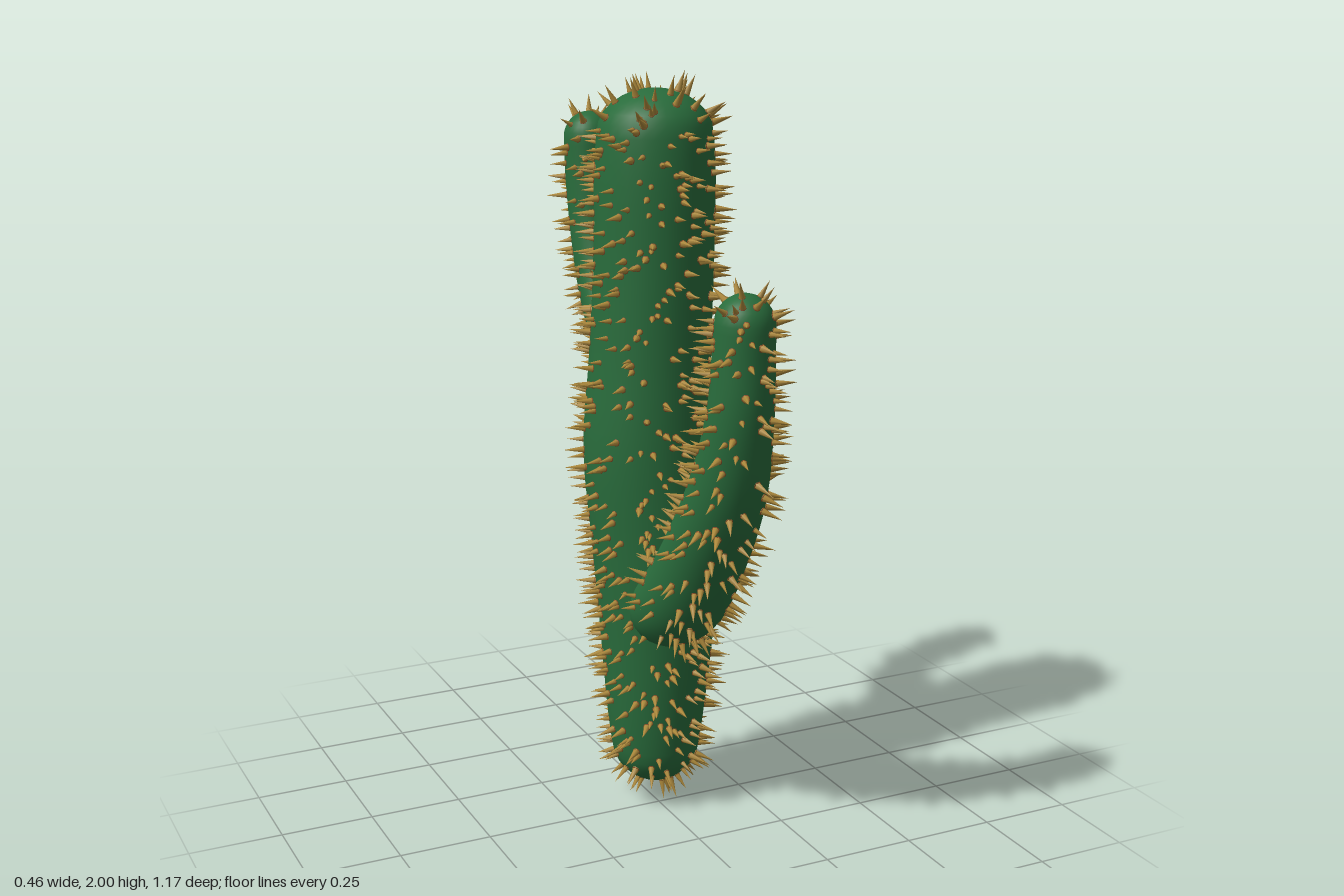
import * as THREE from 'three';
import { mergeGeometries } from 'three/addons/utils/BufferGeometryUtils.js';

const skin = new THREE.MeshStandardMaterial({ color: 0x296c3c });
skin.name = 'cactus green';
const gold = new THREE.MeshStandardMaterial({ color: 0xae8a3c });
gold.name = 'spine gold';
const brown = new THREE.MeshStandardMaterial({ color: 0x8a4e26 });
brown.name = 'spine base brown';

// Small seeded generator for the spine scatter
function seeded(seed) {
  return () => {
    seed = (seed * 1664525 + 1013904223) % 4294967296;
    return seed / 4294967296;
  };
}

// A round limb through stations [x, y, z, radius], with domed ends.
// Returns a function giving the surface point at (t along, angle around).
function limbSurface(stations, cap) {
  const path = new THREE.CatmullRomCurve3(
    stations.map(([x, y, z]) => new THREE.Vector3(x, y, z)), false, 'catmullrom');
  const radii = new THREE.CatmullRomCurve3(
    stations.map((s, i) => new THREE.Vector3(s[3], i, 0)), false, 'catmullrom');
  const length = path.getLength();
  return (t, angle) => {
    const u = path.getUtoTmapping(t);
    const tangent = path.getTangent(u);
    const side = new THREE.Vector3(1, 0, 0).addScaledVector(tangent, -tangent.x).normalize();
    const across = new THREE.Vector3().crossVectors(side, tangent);
    const d = Math.min(1, Math.min(t, 1 - t) * length / cap);
    const r = radii.getPoint(u).x * Math.sqrt(Math.max(0, 1 - (1 - d) ** 2));
    return path.getPoint(u)
      .addScaledVector(side, Math.cos(angle) * r)
      .addScaledVector(across, Math.sin(angle) * r);
  };
}

// Skin from rings that crowd toward the domed ends
function limbGeometry(surface, rows = 44, sides = 28) {
  const positions = [], index = [];
  for (let i = 0; i <= rows; i++) {
    const t = (1 - Math.cos(Math.PI * i / rows)) / 2;
    for (let j = 0; j < sides; j++) {
      positions.push(...surface(t, j / sides * Math.PI * 2).toArray());
      if (i === rows) continue;
      const a = i * sides + j, b = i * sides + (j + 1) % sides;
      index.push(a, a + sides, b, b, a + sides, b + sides);
    }
  }
  const g = new THREE.BufferGeometry();
  g.setAttribute('position', new THREE.Float32BufferAttribute(positions, 3));
  g.setIndex(index);
  g.computeVertexNormals();
  return g;
}

// Spines scattered along the limb, standing nearly square to the skin
function spineMatrices(surface, count, from, rand) {
  const result = [], up = new THREE.Vector3(0, 1, 0), e = 0.002;
  for (let i = 0; i < count; i++) {
    const t = from + (0.998 - from) * (i + rand()) / count;
    const angle = i * 2.39996 + (rand() - 0.5) * 2;
    const p = surface(t, angle);
    const along = surface(Math.min(1, t + e), angle).sub(surface(Math.max(0, t - e), angle));
    const around = surface(t, angle + 0.02).sub(surface(t, angle - 0.02));
    const normal = around.cross(along).normalize();
    // Keep the direction pointing away from the limb's axis
    if (normal.dot(p.clone().sub(surface(t, angle + Math.PI))) < 0) normal.negate();
    const tilt = new THREE.Vector3(rand() - 0.5, rand() - 0.5, rand() - 0.5);
    normal.addScaledVector(tilt, 0.2).normalize();
    const size = 0.8 + rand() * 0.4;
    result.push(new THREE.Matrix4().compose(p,
      new THREE.Quaternion().setFromUnitVectors(up, normal),
      new THREE.Vector3(size, size, size)));
  }
  return result;
}

// One spine: a gold needle rising from a thin brown cushion
const needle = new THREE.ConeGeometry(0.0085, 0.05, 6, 1, true).translate(0, 0.023, 0);
const cushion = new THREE.SphereGeometry(0.0092, 8, 3, 0, Math.PI * 2, 0, Math.PI / 2).scale(1, 0.3, 1);

function limb(name, stations, cap, count, from, seed) {
  const group = new THREE.Group();
  group.name = name;
  const surface = limbSurface(stations, cap);
  const matrices = spineMatrices(surface, count, from, seeded(seed));
  const add = (part, geometry, material) => {
    const mesh = new THREE.Mesh(geometry, material);
    mesh.name = name + part;
    group.add(mesh);
  };
  const scatter = (g) => mergeGeometries(matrices.map((m) => g.clone().applyMatrix4(m)));
  add('Skin', limbGeometry(surface), skin);
  add('Spines', scatter(needle), gold);
  add('SpineBases', scatter(cushion), brown);
  return group;
}

export function createModel() {
  const cactus = new THREE.Group();
  cactus.name = 'cactus';

  // Thick trunk, narrowing to a rounded foot
  cactus.add(limb('trunk', [
    [0.015, 0.045, -0.055, 0.105], [0.016, 0.25, -0.055, 0.133],
    [0.021, 0.5, -0.058, 0.156], [0.015, 0.75, -0.06, 0.17],
    [-0.004, 1.0, -0.063, 0.171], [0.003, 1.25, -0.06, 0.161],
    [0.011, 1.5, -0.055, 0.157], [0.014, 1.75, -0.053, 0.156],
    [0.015, 1.95, -0.053, 0.138],
  ], 0.1, 930, 0.002, 7));

  // Lower arm, curving up in front
  cactus.add(limb('frontArm', [
    [0.01, 0.56, -0.03, 0.115], [0.01, 0.645, 0.13, 0.118],
    [0.012, 0.815, 0.262, 0.11], [0.012, 1.0, 0.372, 0.1],
    [0.01, 1.2, 0.437, 0.084], [0.01, 1.36, 0.453, 0.077],
    [0.01, 1.51, 0.458, 0.074],
  ], 0.075, 290, 0.1, 21));

  // Upper arm, thinner, curving up behind
  cactus.add(limb('backArm', [
    [0.01, 1.08, -0.09, 0.07], [0.01, 1.175, -0.215, 0.07],
    [0.01, 1.27, -0.31, 0.068], [0.01, 1.39, -0.39, 0.066],
    [0.01, 1.54, -0.44, 0.066], [0.01, 1.7, -0.463, 0.069],
    [0.01, 1.855, -0.47, 0.069],
  ], 0.07, 155, 0.16, 43));

  return cactus;
}
